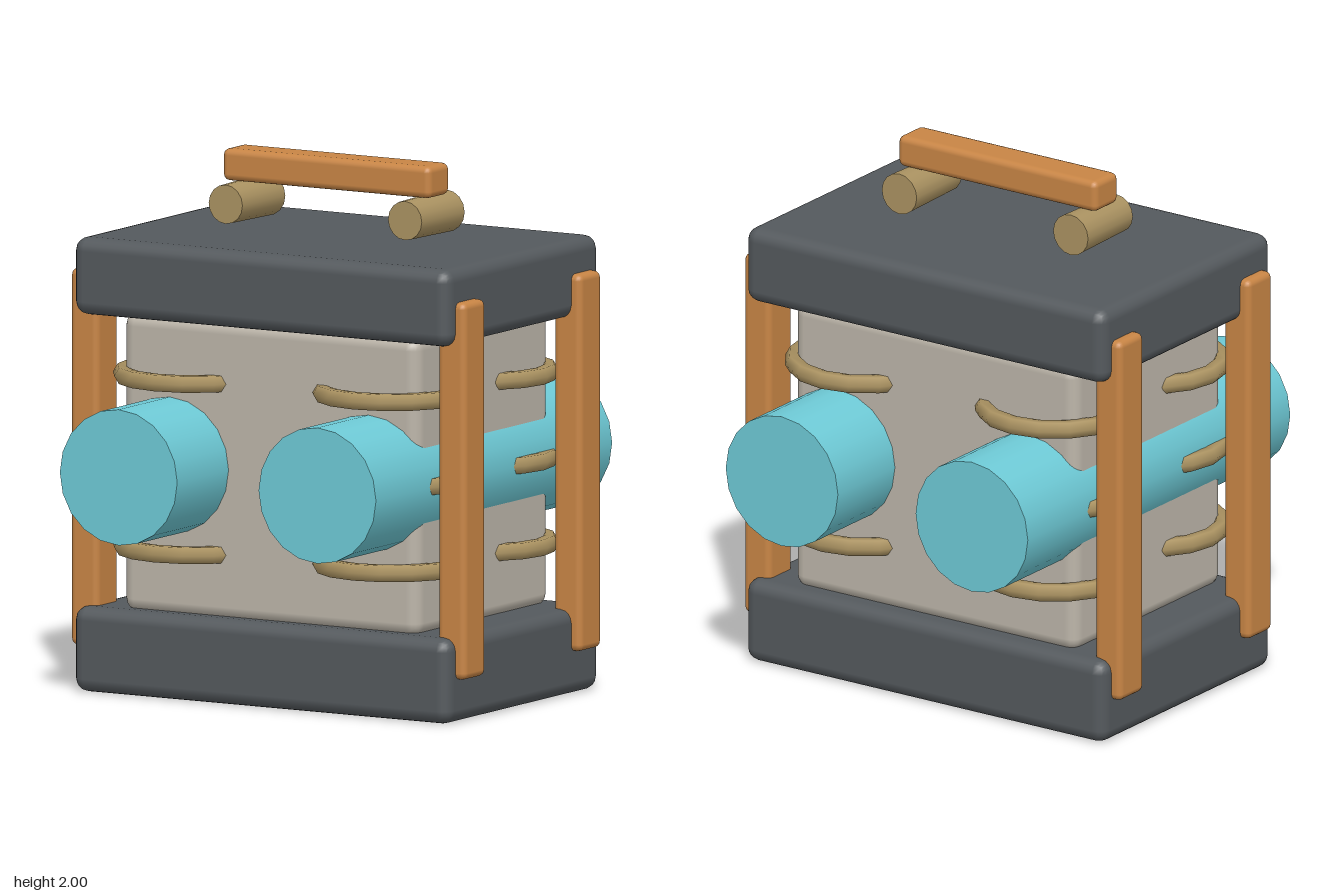
import * as THREE from 'three';
import { RoundedBoxGeometry } from 'three/addons/geometries/RoundedBoxGeometry.js';

const mat = (name, color) => {
  const m = new THREE.MeshStandardMaterial({ color });
  m.name = name;
  return m;
};

export function createModel() {
  const slate = mat('slate', 0x54595d);
  const stone = mat('stone', 0xbcb5a9);
  const copper = mat('copper', 0xc88545);
  const brass = mat('brass', 0xaa9261);
  const cyan = mat('cyan', 0x6ecad6);
  const group = new THREE.Group();

  const add = (name, geometry, material, x, y, z) => {
    const mesh = new THREE.Mesh(geometry, material);
    mesh.name = name;
    mesh.position.set(x, y, z);
    group.add(mesh);
    return mesh;
  };
  const box = (w, h, d, r) => new RoundedBoxGeometry(w, h, d, 2, r);

  // Casing: base, cap and inner block
  add('base', box(1.63, 0.32, 1.09, 0.05), slate, 0, 0.16, 0);
  add('cap', box(1.63, 0.29, 1.09, 0.05), slate, 0, 1.555, 0);
  add('body', box(1.28, 1.12, 0.95, 0.05), stone, 0, 0.865, 0);

  // Shared geometries
  const post = box(0.12, 1.41, 0.155, 0.025);
  const tube = new THREE.CylinderGeometry(0.254, 0.254, 1.68, 20).rotateX(Math.PI / 2);
  const ring = new THREE.TorusGeometry(0.27, 0.035, 6, 16).rotateX(Math.PI / 2);
  const foot = new THREE.CylinderGeometry(0.073, 0.079, 0.295, 16).rotateX(Math.PI / 2);

  for (const sx of [-1, 1]) {
    const side = sx > 0 ? 'left' : 'right';
    // Long canister running front to back
    add(side + 'Canister', tube, cyan, sx * 0.43, 0.87, 0);
    // Handle mount
    add(side + 'HandleMount', foot, brass, sx * 0.388, 1.805, 0);

    for (const sz of [-1, 1]) {
      const corner = side + (sz > 0 ? 'Front' : 'Back');
      // Corner post and the three bands around the corner
      add(corner + 'Post', post, copper, sx * 0.795, 0.87, sz * 0.412);
      [0.55, 0.87, 1.19].forEach((y, i) =>
        add(corner + 'Band' + (i + 1), ring, brass, sx * 0.43, y, sz * 0.3));
    }
  }

  // Carrying handle
  add('handle', box(0.9, 0.12, 0.15, 0.025), copper, 0, 1.94, 0);

  return group;
}
